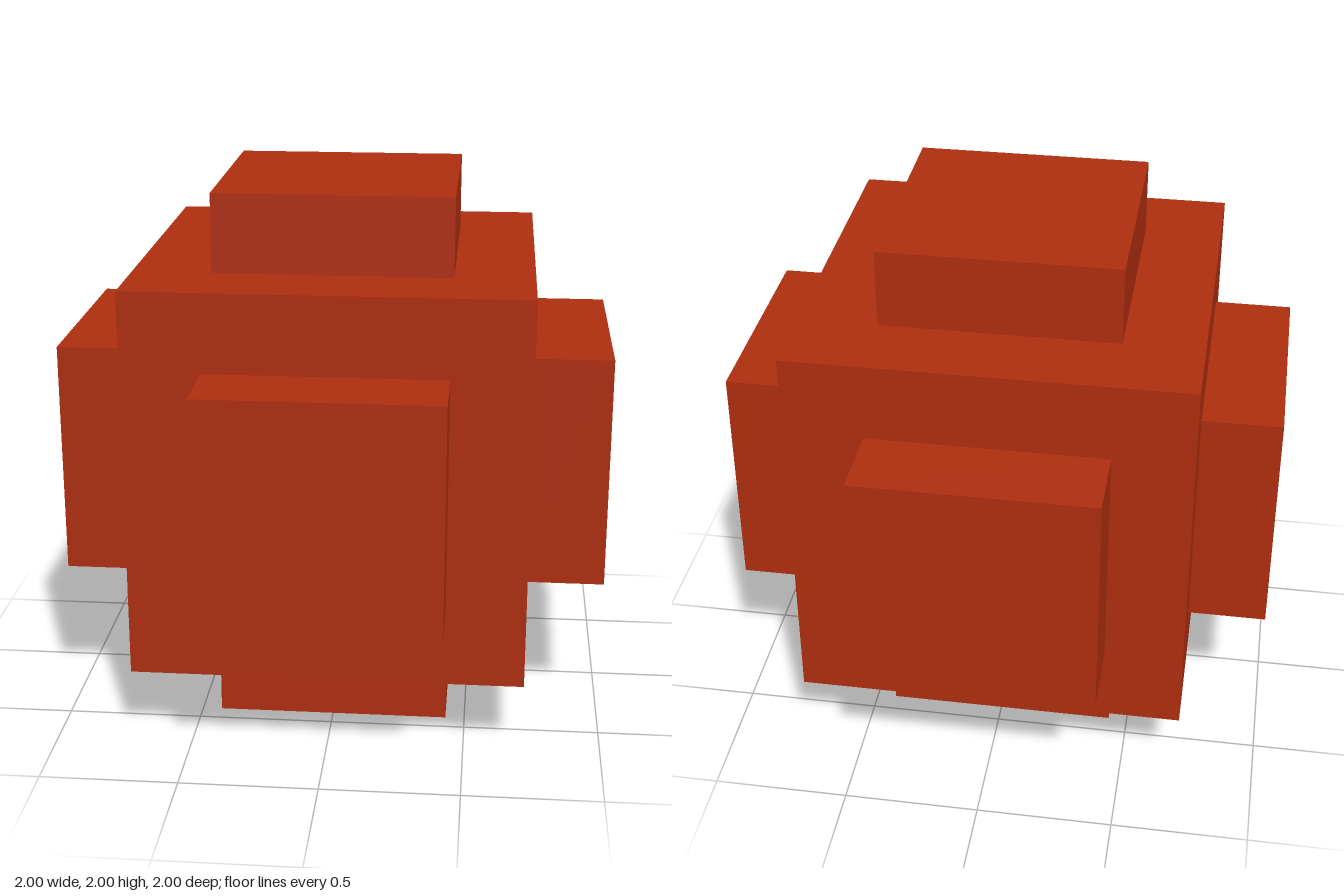
import * as THREE from 'three';

export function createModel() {
  const model = new THREE.Group();
  model.name = 'studdedCube';

  const red = new THREE.MeshStandardMaterial({ color: 0xad2d0f });
  red.name = 'brick red';

  const unit = 2 / 7; // the whole model spans seven units
  const coreSize = 5 * unit;
  const padWidth = 3 * unit;

  // Central cube
  const core = new THREE.Mesh(new THREE.BoxGeometry(coreSize, coreSize, coreSize), red);
  core.name = 'core';
  core.position.y = 1;
  model.add(core);

  // One square pad standing out from each face
  const pads = {
    leftPad: [1, 0, 0],
    rightPad: [-1, 0, 0],
    topPad: [0, 1, 0],
    bottomPad: [0, -1, 0],
    frontPad: [0, 0, 1],
    backPad: [0, 0, -1],
  };
  for (const [name, dir] of Object.entries(pads)) {
    const size = dir.map((d) => (d ? unit : padWidth));
    const pad = new THREE.Mesh(new THREE.BoxGeometry(...size), red);
    pad.name = name;
    pad.position.set(...dir).multiplyScalar((coreSize + unit) / 2);
    pad.position.y += 1;
    model.add(pad);
  }

  return model;
}
